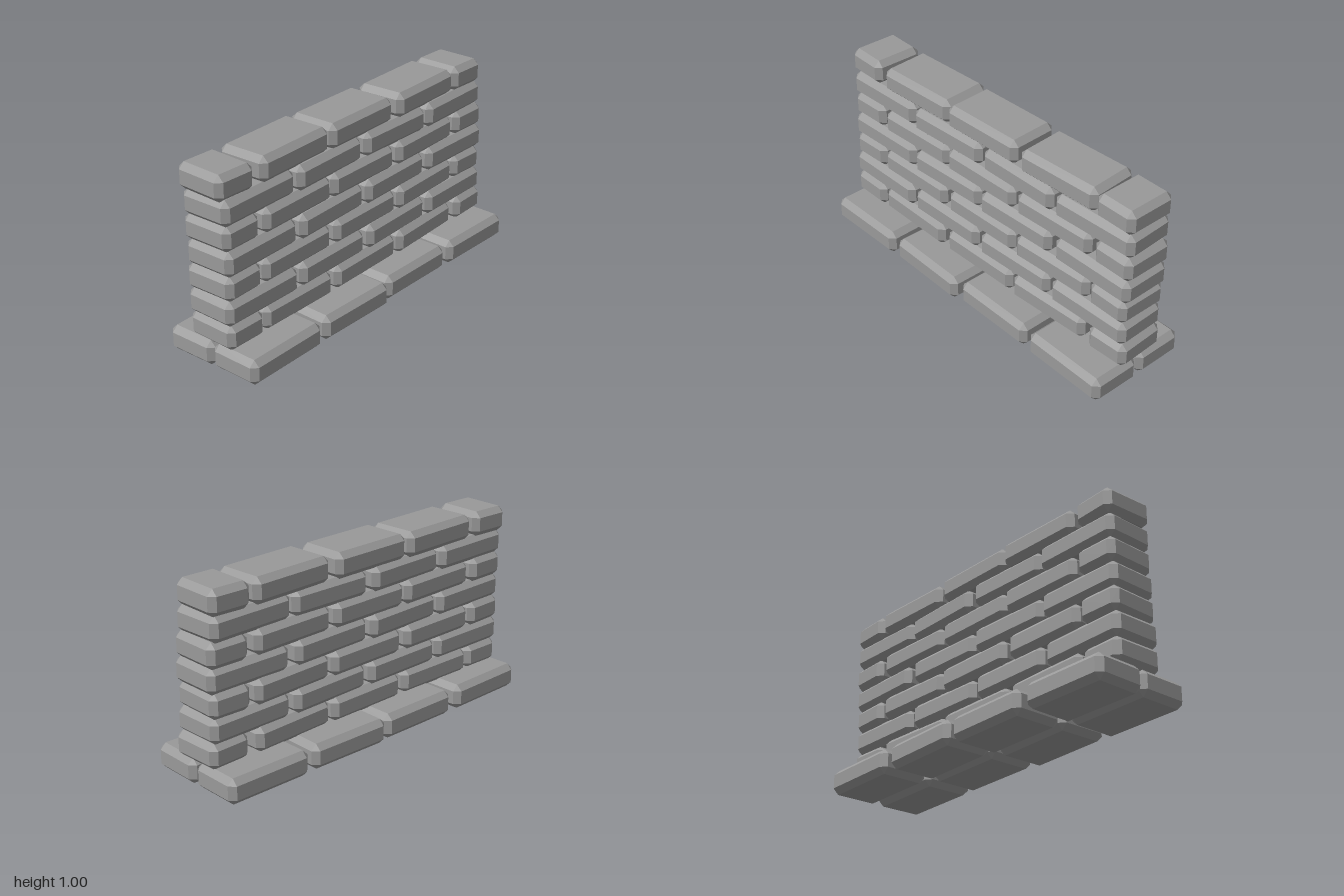
import * as THREE from 'three';
import { ConvexGeometry } from 'three/addons/geometries/ConvexGeometry.js';

const HEIGHT = 0.132, PITCH = 0.124, DEPTH = 0.278, BEVEL = 0.03;

// Box with every edge and corner cut off
function chamferedBox(w, h, d, c) {
  const points = [];
  for (const sx of [-1, 1]) for (const sy of [-1, 1]) for (const sz of [-1, 1]) {
    const x = w / 2, y = h / 2, z = d / 2;
    points.push(
      new THREE.Vector3(sx * x, sy * (y - c), sz * (z - c)),
      new THREE.Vector3(sx * (x - c), sy * y, sz * (z - c)),
      new THREE.Vector3(sx * (x - c), sy * (y - c), sz * z));
  }
  return new ConvexGeometry(points);
}

// Courses from the lowest up: z of the middle, then [x, yaw in degrees] per brick
const COURSES = [
  { z: -0.004, bricks: [[-0.872, -1], [-0.51, -1], [-0.007, 0.5], [0.482, 2], [0.875, 1.5]] },
  { z: -0.006, bricks: [[-0.752, -0.5], [-0.258, 0.5], [0.242, 1.5], [0.742, 0.5]] },
  { z: -0.013, bricks: [[-0.87, 1.5], [-0.505, 0.5], [0, 0.5], [0.49, 2], [0.862, -1.5]] },
  { z: -0.013, bricks: [[-0.745, 1], [-0.255, 2], [0.238, 1.5], [0.75, -0.5]] },
  { z: -0.019, bricks: [[-0.868, 1], [-0.492, 1.5], [-0.01, 0.5], [0.488, 1.5], [0.872, -1]] },
  { z: -0.021, bricks: [[-0.745, 1], [-0.258, 2], [0.248, -0.5], [0.738, 1.5]] },
  { z: -0.029, bricks: [[-0.88, -2], [-0.493, 1.8], [-0.012, 1], [0.498, 2], [0.86, -1.2]] },
];

// Footing bricks: x, z, yaw in degrees
const FOOTING = [
  [-0.755, 0.138, -0.3], [-0.25, 0.14, -1.7], [0.243, 0.128, -1], [0.75, 0.144, -1.5],
  [-0.76, -0.137, 0.8], [-0.243, -0.14, -0.3], [0.242, -0.146, -1.5], [0.752, -0.144, -1],
];

export function createModel() {
  const wall = new THREE.Group();
  wall.name = 'brickWall';
  const stone = new THREE.MeshStandardMaterial({ color: 0x999999 });
  stone.name = 'greyStone';

  const full = chamferedBox(0.476, HEIGHT, DEPTH, BEVEL);
  const half = chamferedBox(0.23, HEIGHT, DEPTH, BEVEL);

  function addBrick(parent, name, geometry, x, y, z, yaw) {
    const brick = new THREE.Mesh(geometry, stone);
    brick.name = name;
    brick.position.set(x, y, z);
    brick.rotation.y = THREE.MathUtils.degToRad(yaw);
    parent.add(brick);
  }

  // Double row of footing bricks
  const footing = new THREE.Group();
  footing.name = 'footing';
  for (const [x, z, yaw] of FOOTING) addBrick(footing, 'footingBrick', full, x, HEIGHT / 2, z, yaw);
  wall.add(footing);

  // Staggered courses, with half bricks closing every five-brick course
  COURSES.forEach(({ z, bricks }, i) => {
    const course = new THREE.Group();
    course.name = `course${i + 1}`;
    const y = HEIGHT / 2 + (i + 1) * PITCH;
    bricks.forEach(([x, yaw], j) => {
      const isEnd = bricks.length === 5 && (j === 0 || j === 4);
      addBrick(course, isEnd ? 'halfBrick' : 'brick', isEnd ? half : full, x, y, z, yaw);
    });
    wall.add(course);
  });
  return wall;
}
